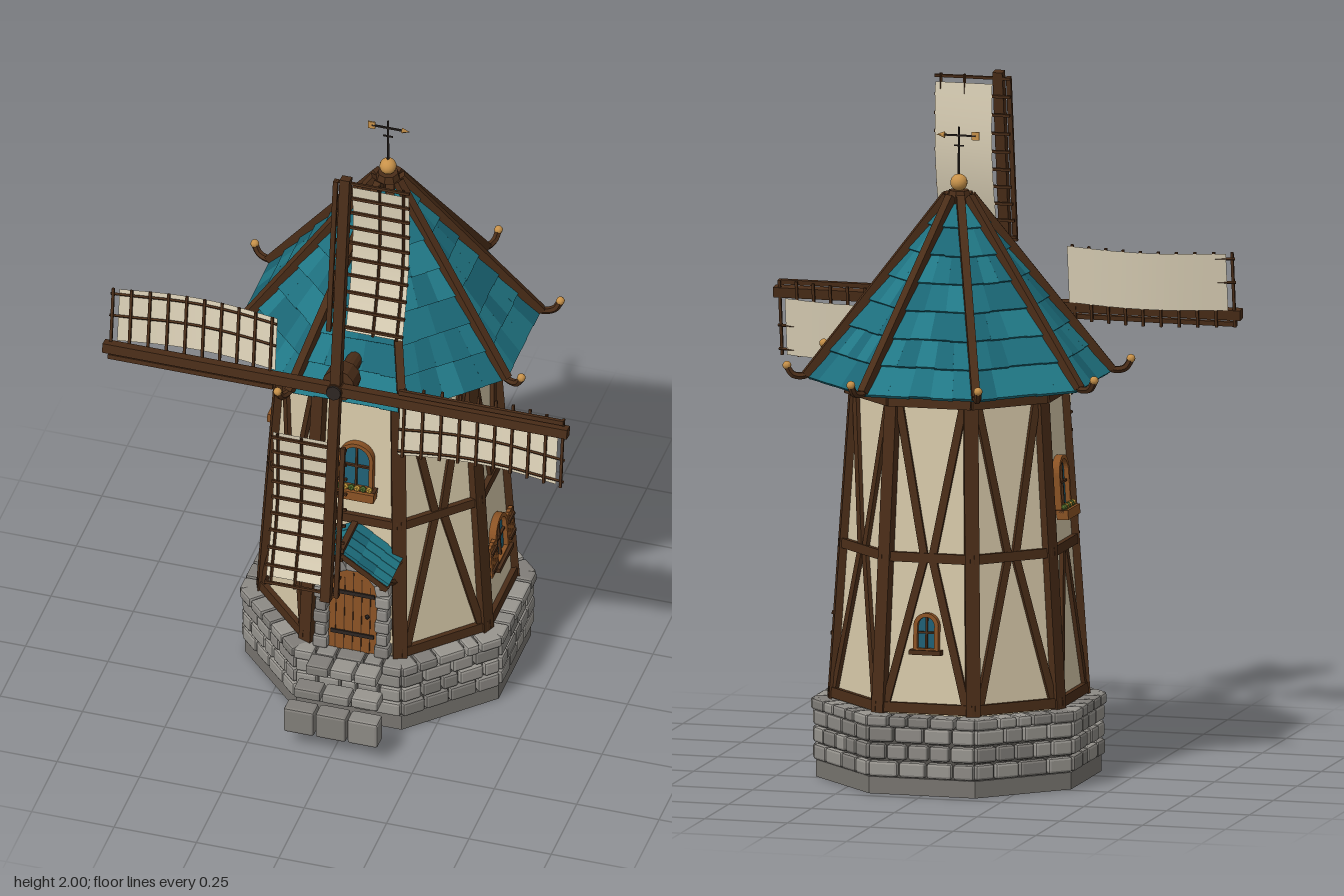
import * as THREE from 'three';
import { RoundedBoxGeometry } from 'three/addons/geometries/RoundedBoxGeometry.js';

const mat = (color, flat = true) => new THREE.MeshStandardMaterial({ color, flatShading: flat, side: THREE.DoubleSide });
const M = {
  plaster: mat(0xd6c8a8), timber: mat(0x4a2d18), plank: mat(0x8a5224), dark: mat(0x2b2420), sail: mat(0xddd2b8, false),
  mortar: mat(0x55524e), plinth: mat(0x77746f), glass: mat(0x1f5f74), gold: mat(0xc8924a, false), leaf: mat(0x55702c), flower: mat(0xc89a3a),
  teal: [mat(0x1d6f7e), mat(0x1a6675), mat(0x217987)],
  stone: [mat(0x8d8a85), mat(0x817e79), mat(0x98958f)],
};
const C8 = Math.cos(Math.PI / 8), T8 = Math.tan(Math.PI / 8);
let seed = 7;
const rand = () => (seed = (seed * 16807) % 2147483647) / 2147483647;
const pick = (list) => list[Math.floor(rand() * list.length)];

function add(parent, name, geo, material, x = 0, y = 0, z = 0) {
  const m = new THREE.Mesh(geo, material);
  m.name = name;
  m.position.set(x, y, z);
  parent.add(m);
  return m;
}
const box = (p, name, m, w, h, d, x, y, z) => add(p, name, new THREE.BoxGeometry(w, h, d), m, x, y, z);
const stone = (p, name, w, h, d, x, y, z) => add(p, name, new RoundedBoxGeometry(w, h, d, 1, 0.008), pick(M.stone), x, y, z);

// Octagonal frustum with flats facing the axes (a = distance to the flats)
const octagon = (p, name, m, aTop, aBot, y0, y1) => add(p, name,
  new THREE.CylinderGeometry(aTop / C8, aBot / C8, y1 - y0, 8, 1, false, Math.PI / 8), m, 0, (y0 + y1) / 2, 0);

// Group lying in a sloped side: local y runs up the slope, local z points outward
function facePlane(p, name, angle, a0, y0, a1, y1) {
  const g = new THREE.Group();
  g.name = name;
  g.rotation.order = 'YXZ';
  g.rotation.set(-Math.atan2(a0 - a1, y1 - y0), angle, 0);
  g.position.set(Math.sin(angle) * a0, y0, Math.cos(angle) * a0);
  p.add(g);
  return g;
}
// Straight timber between two points of a plane
function beam(p, name, x0, y0, x1, y1, w, d, z = 0, m = M.timber) {
  const b = box(p, name, m, w, Math.hypot(x1 - x0, y1 - y0), d, (x0 + x1) / 2, (y0 + y1) / 2, z);
  b.rotation.z = -Math.atan2(x1 - x0, y1 - y0);
  return b;
}
const tube = (p, name, m, pts, r, sides = 6, n = 16) => add(p, name,
  new THREE.TubeGeometry(new THREE.CatmullRomCurve3(pts.map((q) => new THREE.Vector3(...q))), n, r, sides), m);

function archShape(w, h, S = THREE.Shape, y0 = 0) {
  const s = new S();
  s.moveTo(-w / 2, y0);
  s.lineTo(w / 2, y0);
  s.lineTo(w / 2, h - w / 2);
  s.absarc(0, h - w / 2, w / 2, 0, Math.PI, false);
  s.closePath();
  return s;
}
const extrude = (s, depth) => new THREE.ExtrudeGeometry(s, { depth, bevelEnabled: false, curveSegments: 10 });

// Arched window with optional shutters or flower box
function windowAt(face, y, w, h, { shutters = false, flowers = false } = {}) {
  const g = new THREE.Group();
  g.name = 'window';
  g.position.y = y;
  face.add(g);
  const frame = archShape(w, h);
  frame.holes.push(archShape(w - 0.024, h - 0.012, THREE.Path, 0.012));
  add(g, 'windowFrame', extrude(frame, 0.022), M.plank);
  add(g, 'windowPane', extrude(archShape(w - 0.02, h - 0.01), 0.008), M.glass);
  box(g, 'mullion', M.timber, 0.006, h - 0.01, 0.012, 0, h / 2, 0.01);
  box(g, 'mullion', M.timber, w - 0.01, 0.006, 0.012, 0, h * 0.5, 0.01);
  box(g, 'windowSill', M.timber, w + 0.02, 0.014, 0.035, 0, 0, 0.014);
  if (shutters) for (const s of [-1, 1]) {
    for (const k of [0, 1, 2]) box(g, 'shutterPlank', M.plank, 0.015, 0.105, 0.012, s * (w / 2 + 0.01 + k * 0.017), 0.055, 0.016);
    for (const yy of [0.025, 0.085]) box(g, 'shutterBrace', M.timber, 0.05, 0.01, 0.008, s * (w / 2 + 0.027), yy, 0.024);
  }
  if (flowers) {
    box(g, 'flowerBox', M.plank, w + 0.02, 0.028, 0.035, 0, -0.008, 0.026);
    for (let i = 0; i < 6; i++) add(g, 'flower', new THREE.IcosahedronGeometry(0.011, 0), i % 2 ? M.flower : M.leaf, (i - 2.5) * 0.018, 0.013, 0.028);
  }
}

function buildBase(t) {
  octagon(t, 'plinth', M.plinth, 0.385, 0.385, 0, 0.05);
  octagon(t, 'mortarCore', M.mortar, 0.378, 0.378, 0.04, 0.225);
  for (let i = 0; i < 8; i++) {
    const f = facePlane(t, 'stoneSide', i * Math.PI / 4, 0.38, 0, 0.38, 1);
    for (let row = 0; row < 4; row++) {
      const cap = row === 3, n = row % 2 ? 5 : 4, W = cap ? 0.332 : 0.322, h = cap ? 0.034 : 0.046;
      const cuts = [...Array(n + 1).keys()].map((k) => -W / 2 + W * (k + (k % n ? (rand() - 0.5) * 0.4 : 0)) / n);
      for (let k = 0; k < n; k++) {
        stone(f, cap ? 'copingStone' : 'wallStone', cuts[k + 1] - cuts[k] - 0.005, h, cap ? 0.06 : 0.024,
          (cuts[k] + cuts[k + 1]) / 2, cap ? 0.216 : 0.075 + row * 0.051, (cap ? -0.01 : 0.003) + rand() * 0.003);
      }
    }
  }
  // Entrance steps
  for (const [w, y, h, z, d] of [[0.22, 0.217, 0.035, 0.43, 0.065], [0.26, 0.168, 0.035, 0.487, 0.058], [0.29, 0.102, 0.085, 0.538, 0.055]])
    for (let k = -1; k <= 1; k++) stone(t, 'step', w / 3 - 0.004, h, d, k * w / 3, y, z + rand() * 0.006);
}

function buildDoor(t, face) {
  const door = new THREE.Group();
  door.name = 'door';
  face.add(door);
  add(door, 'doorLeaf', extrude(archShape(0.144, 0.285), 0.014), M.plank);
  for (let k = -2; k <= 2; k++) box(door, 'plankGap', M.timber, 0.003, 0.27 - Math.abs(k) * 0.02, 0.004, k * 0.026, 0.135 - Math.abs(k) * 0.01, 0.014);
  for (const y of [0.06, 0.2]) box(door, 'ironStrap', M.dark, 0.13, 0.012, 0.006, 0, y, 0.016);
  add(door, 'doorKnob', new THREE.SphereGeometry(0.007, 8, 6), M.dark, 0.045, 0.13, 0.02);
  for (const s of [-1, 1]) for (let k = 0; k < 5; k++) stone(door, 'jambStone', k % 2 ? 0.036 : 0.046, 0.041, 0.045, s * 0.093, 0.022 + k * 0.043, 0.012);
  for (let k = 0; k < 7; k++) {
    const a = (k + 0.5) * Math.PI / 7;
    const v = stone(door, 'archStone', 0.045, 0.041, 0.045, Math.cos(a) * 0.093, 0.215 + Math.sin(a) * 0.093, 0.012);
    v.rotation.z = a;
  }
  // Gabled porch roof with brackets and a lantern
  const porch = new THREE.Group();
  porch.name = 'porchRoof';
  t.add(porch);
  for (const s of [-1, 1]) {
    for (let r = 0; r < 3; r++) for (let k = 0; k < 4; k++) {
      const u = (r + 0.5) / 3;
      const tile = box(porch, 'porchTile', pick(M.teal), 0.062, 0.01, 0.035, s * 0.14 * u, 0.672 - 0.095 * u, 0.332 + k * 0.037);
      tile.rotation.z = -s * 0.55;
    }
    for (const z of [0.33, 0.455]) beam(porch, 'porchRafter', 0, 0.655, s * 0.14, 0.56, 0.018, 0.016, z);
    box(porch, 'porchPlate', M.timber, 0.018, 0.018, 0.14, s * 0.125, 0.562, 0.39);
    tube(porch, 'porchBracket', M.timber, [[s * 0.125, 0.49, 0.325], [s * 0.125, 0.515, 0.365], [s * 0.125, 0.56, 0.42]], 0.009, 4);
  }
  box(porch, 'porchRidge', M.timber, 0.018, 0.016, 0.15, 0, 0.675, 0.39);
  add(porch, 'lantern', new THREE.CylinderGeometry(0.012, 0.009, 0.03, 6), M.gold, -0.14, 0.52, 0.385);
  add(porch, 'lanternCap', new THREE.ConeGeometry(0.018, 0.014, 6), M.dark, -0.14, 0.542, 0.385);
}

function buildTower(t) {
  const A0 = 0.34, A1 = 0.28, Y0 = 0.23, Y1 = 1.17, L = Math.hypot(A0 - A1, Y1 - Y0), mid = 0.46;
  const hw = (y) => T8 * (A0 + (A1 - A0) * y / L);
  octagon(t, 'plasterWalls', M.plaster, A1, A0, Y0, Y1);
  for (let i = 0; i < 8; i++) {
    const f = facePlane(t, 'wallSide', i * Math.PI / 4, A0, Y0, A1, Y1);
    const corner = facePlane(t, 'cornerPost', (i + 0.5) * Math.PI / 4, A0 / C8, Y0, A1 / C8, Y1);
    box(corner, 'post', M.timber, 0.042, L, 0.032, 0, L / 2, -0.002);
    if (i !== 0) box(f, 'bottomRail', M.timber, 2 * hw(0), 0.03, 0.024, 0, 0.02, 0.004);
    box(f, 'middleRail', M.timber, 2 * hw(mid), 0.028, 0.024, 0, mid, 0.004);
    box(f, 'topRail', M.timber, 2 * hw(L) + 0.016, 0.042, 0.04, 0, L - 0.022, 0.008);
    for (const s of [-1, 1]) {
      if (i !== 0 && i !== 6) beam(f, 'upperBrace', s * 0.012, mid, s * (hw(L) - 0.02), L - 0.04, 0.023, 0.018, 0.003);
      if (i !== 0 && i !== 2) beam(f, 'lowerBrace', s * 0.012, mid, s * (hw(0) - 0.02), 0.03, 0.023, 0.018, 0.003);
    }
    if (i === 0) { windowAt(f, 0.565, 0.105, 0.16, { flowers: true }); buildDoor(t, f); }
    if (i === 2) windowAt(f, 0.16, 0.115, 0.15, { shutters: true });
    if (i === 4) windowAt(f, 0.185, 0.075, 0.115);
    if (i === 6) windowAt(f, 0.565, 0.105, 0.16, { flowers: true });
  }
}

function buildRoof(t) {
  const A0 = 0.395, A1 = 0.025, Y0 = 1.175, Y1 = 1.69, L = Math.hypot(A0 - A1, Y1 - Y0), rows = 7;
  const hw = (y) => Math.max(0.002, T8 * (A0 + (A1 - A0) * y / L));
  octagon(t, 'roofCore', M.teal[1], A1, A0, Y0, Y1);
  for (let i = 0; i < 8; i++) {
    const f = facePlane(t, 'roofSide', i * Math.PI / 4, A0, Y0, A1, Y1);
    for (let r = 0; r < rows; r++) {
      const h = L / rows + 0.008, y = r * L / rows - (r ? 0 : 0.006), n = Math.max(1, 5 - Math.floor(r * 0.7));
      const b = hw(y), c = hw(y + h);
      for (let k = 0; k < n; k++) {
        const u = -1 + 2 * k / n, v = -1 + 2 * (k + 1) / n, drop = rand() * 0.004;
        const s = new THREE.Shape([[u * b, -drop], [v * b, -drop], [v * c, h], [u * c, h]].map((q) => new THREE.Vector2(...q)));
        add(f, 'roofTile', extrude(s, 0.013), pick(M.teal), 0, y, 0.002).rotation.x = -0.08;
      }
    }
    // Hip rafter with an upturned, gold-tipped end
    const hip = new THREE.Group();
    hip.name = 'hipRafter';
    hip.rotation.y = (i + 0.5) * Math.PI / 4;
    t.add(hip);
    const rafter = facePlane(hip, 'rafter', 0, 0.44, 1.178, 0.03, 1.7);
    box(rafter, 'rafterBeam', M.timber, 0.024, 0.662, 0.026, 0, 0.331, 0.008);
    tube(hip, 'rafterCurl', M.timber, [[0, 1.2, 0.425], [0, 1.182, 0.452], [0, 1.186, 0.485], [0, 1.21, 0.502]], 0.011, 6);
    add(hip, 'rafterTip', new THREE.SphereGeometry(0.013, 8, 6), M.gold, 0, 1.213, 0.502);
  }
  // Finial and weathervane
  add(t, 'finialCap', new THREE.CylinderGeometry(0.03, 0.042, 0.04, 8), M.timber, 0, 1.7, 0);
  add(t, 'finialBall', new THREE.SphereGeometry(0.025, 16, 12), M.gold, 0, 1.742, 0);
  add(t, 'vaneRod', new THREE.CylinderGeometry(0.003, 0.004, 0.15, 6), M.dark, 0, 1.83, 0);
  box(t, 'vaneArm', M.dark, 0.1, 0.005, 0.005, 0, 1.88, 0);
  box(t, 'vaneTail', M.gold, 0.022, 0.024, 0.004, -0.05, 1.88, 0);
  add(t, 'vaneArrow', new THREE.ConeGeometry(0.01, 0.025, 4), M.gold, 0.055, 1.88, 0).rotation.z = -Math.PI / 2;
  box(t, 'vaneCross', M.dark, 0.03, 0.004, 0.004, 0, 1.85, 0);
}

function buildRotor(g) {
  const rotor = new THREE.Group();
  rotor.name = 'rotor';
  rotor.position.set(0, 1.3, 0.437);
  rotor.rotation.x = -0.139;
  g.add(rotor);
  const round = (name, m, r, z0, z1) => { add(rotor, name, new THREE.CylinderGeometry(r, r, z1 - z0, 12), m, 0, 0, (z0 + z1) / 2).rotation.x = Math.PI / 2; };
  round('axle', M.timber, 0.024, -0.24, 0.02);
  round('hub', M.timber, 0.05, -0.085, -0.02);
  round('hubCap', M.dark, 0.022, 0, 0.028);
  const R0 = 0.19, R1 = 0.67;
  const bow = (r) => -0.016 - 0.032 * Math.sin(Math.PI * Math.min(1, Math.max(0, (r - R0) / (R1 - R0))));
  for (let i = 0; i < 4; i++) {
    const b = new THREE.Group();
    b.name = 'blade';
    b.rotation.z = -i * Math.PI / 2;
    rotor.add(b);
    box(b, 'spar', M.timber, 0.03, 0.705, 0.03, 0, 0.3525, 0);
    box(b, 'leadingBoard', M.timber, 0.014, 0.5, 0.012, -0.03, 0.44, 0);
    const cloth = new THREE.PlaneGeometry(0.172, R1 - R0, 1, 14);
    cloth.translate(0.102, (R0 + R1) / 2, 0);
    const p = cloth.attributes.position;
    for (let k = 0; k < p.count; k++) p.setZ(k, bow(p.getY(k)));
    cloth.computeVertexNormals();
    add(b, 'sailCloth', cloth, M.sail);
    // Lattice in front of the cloth
    for (let k = 0; k < 10; k++) {
      const r = 0.205 + k * 0.0535;
      box(b, 'crossbar', M.timber, 0.228, 0.008, 0.008, 0.077, r, bow(r) + 0.007);
    }
    for (const x of [0.1, 0.172])
      tube(b, 'sailRail', M.timber, [0.19, 0.28, 0.37, 0.45, 0.53, 0.61, 0.695].map((r) => [x, r, bow(r) + 0.006]), 0.0045, 4);
  }
}

export function createModel() {
  const g = new THREE.Group();
  g.name = 'windmill';
  const tower = new THREE.Group();
  tower.name = 'tower';
  tower.position.z = -0.075;
  g.add(tower);
  buildBase(tower);
  buildTower(tower);
  buildRoof(tower);
  buildRotor(g);
  return g;
}
